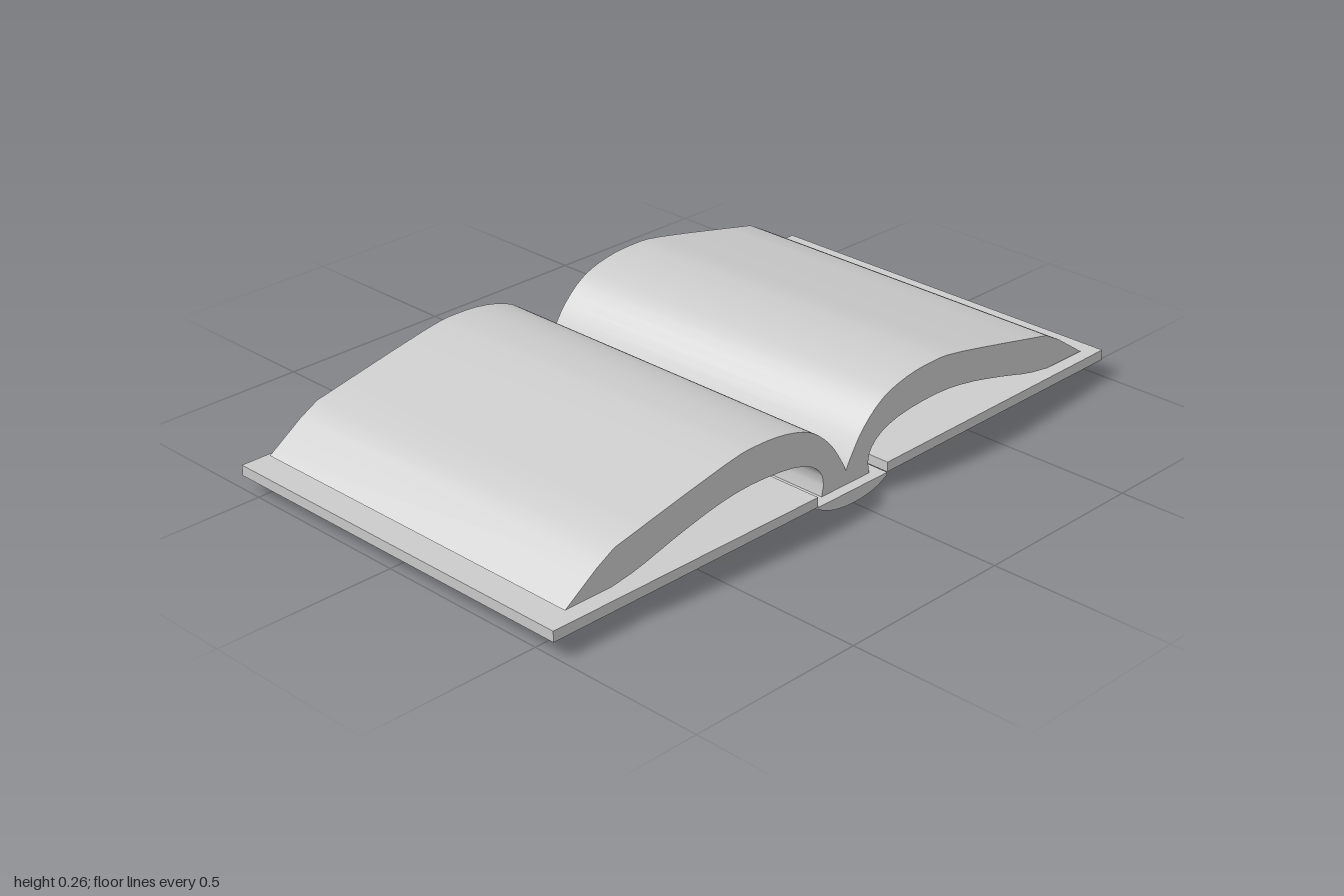
import * as THREE from 'three';
import { toCreasedNormals } from 'three/addons/utils/BufferGeometryUtils.js';

const material = new THREE.MeshStandardMaterial({ color: 0xcccccc });

// Extrudes an x/y outline along z, centred on z = 0.
function slab(name, outline, depth) {
  const shape = new THREE.Shape(outline.map(([x, y]) => new THREE.Vector2(x, y)));
  const geometry = new THREE.ExtrudeGeometry(shape, { depth, bevelEnabled: false });
  geometry.translate(0, 0, -depth / 2);
  const mesh = new THREE.Mesh(toCreasedNormals(geometry, 0.42), material);
  mesh.name = name;
  return mesh;
}

// Samples a smooth curve through a few profile points.
function smooth(points, segments) {
  const curve = new THREE.SplineCurve(points.map(([x, y]) => new THREE.Vector2(x, y)));
  return curve.getPoints(segments).map((p) => [p.x, p.y]);
}

export function createModel() {
  const book = new THREE.Group();
  book.name = 'openBook';

  // Arched leaves: page surface, slanted fore-edge, hollow underside, foot at the spine
  const topCurve = smooth([
    [0, 0.075], [0.015, 0.105], [0.06, 0.17], [0.13, 0.227],
    [0.22, 0.255], [0.32, 0.263], [0.43, 0.252], [0.785, 0.178],
  ], 21);
  const foreEdge = [[0.84, 0.148], [0.94, 0.08]];
  const underside = smooth([
    [0.795, 0.08], [0.71, 0.094], [0.6, 0.123], [0.46, 0.154], [0.34, 0.166],
    [0.21, 0.158], [0.13, 0.135], [0.09, 0.1], [0.082, 0.065],
  ], 20);
  const half = [...topCurve, ...foreEdge, ...underside, [0.088, 0.036], [0, 0.036]];
  const pages = new THREE.Group();
  pages.name = 'pages';
  pages.position.x = 0.004;
  for (const [side, name] of [[1, 'leftPages'], [-1, 'rightPages']]) {
    pages.add(slab(name, half.map(([x, y]) => [side * x, y]), 1.06));
  }
  book.add(pages);

  // Cover boards, one tilted very slightly upward
  book.add(slab('leftCover', [[0.125, 0.038], [1, 0.046], [1, 0.075], [0.125, 0.065]], 1.12));
  book.add(slab('rightCover', [[-1, 0.038], [-0.13, 0.038], [-0.13, 0.065], [-1, 0.067]], 1.12));

  // Rounded spine beneath the page block
  const spineCurve = smooth([
    [-0.13, 0.031], [-0.09, 0.013], [-0.045, 0.003], [0, 0],
    [0.045, 0.003], [0.09, 0.013], [0.125, 0.03],
  ], 12);
  book.add(slab('spine', [...spineCurve, [0.125, 0.037], [-0.13, 0.037]], 1.12));

  return book;
}
